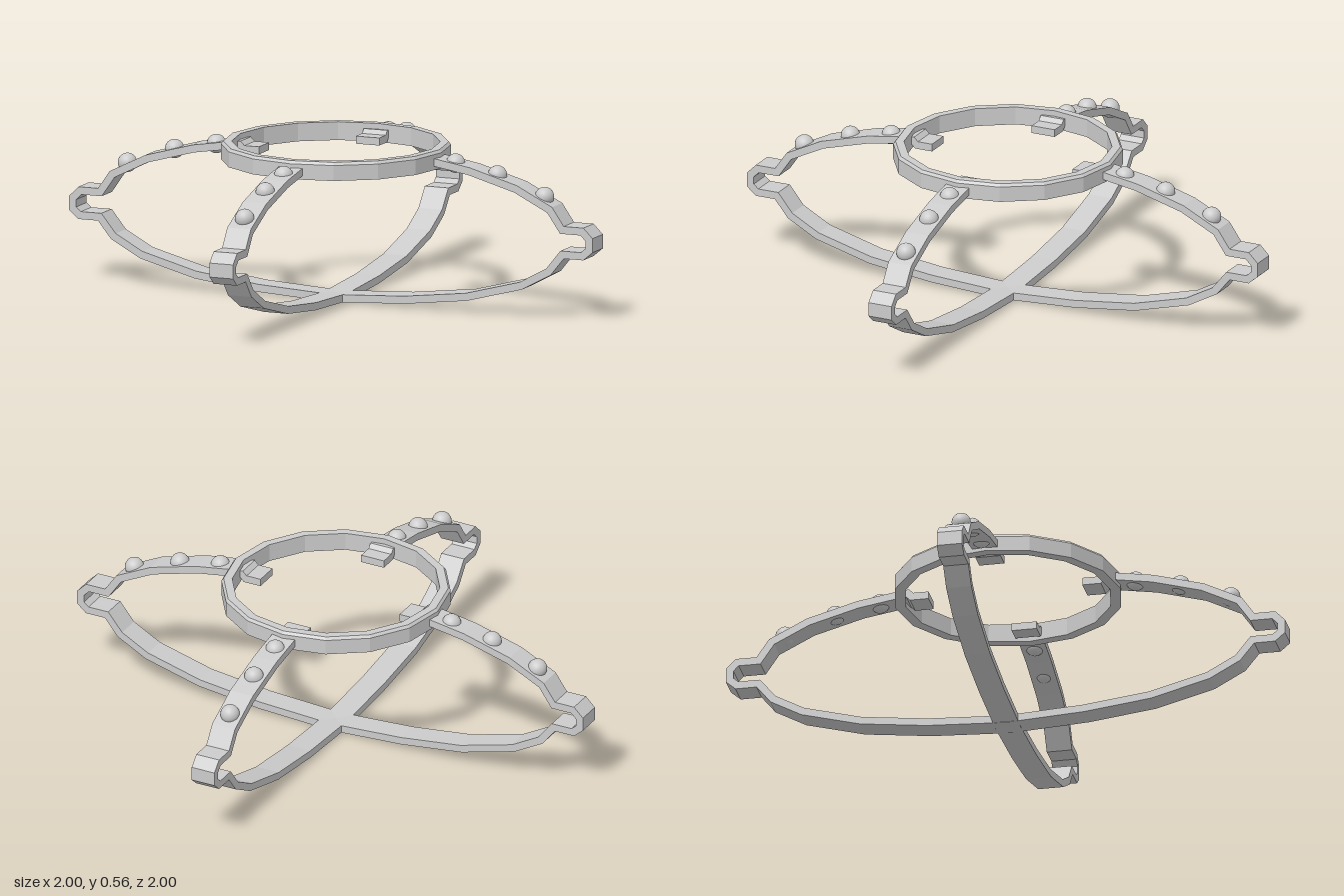
import * as THREE from 'three';

const material = new THREE.MeshStandardMaterial({ color: 0xcccccc, flatShading: true });
const smooth = new THREE.MeshStandardMaterial({ color: 0xcccccc });
const BAND = 0.09, THICK = 0.027;

// Outer edge of half a band, from the inner tab round the end knuckle to the bottom
const HALF = [
  [0.275, 0.535], [0.33, 0.535], [0.345, 0.55], [0.4, 0.543], [0.53, 0.522], [0.71, 0.472],
  [0.845, 0.405], [0.89, 0.34], [0.965, 0.34], [1, 0.305], [1, 0.255], [0.965, 0.225],
  [0.89, 0.225], [0.84, 0.163], [0.73, 0.103], [0.52, 0.047], [0.28, 0.018], [0, 0.003],
];

// Offset a path to its right by a mitred distance
function offset(path, d) {
  return path.map((p, i) => {
    const a = path[Math.max(i - 1, 0)], b = path[Math.min(i + 1, path.length - 1)];
    const u = (i > 0 ? p.clone().sub(a) : b.clone().sub(p)).normalize();
    const v = (i < path.length - 1 ? b.clone().sub(p) : p.clone().sub(a)).normalize();
    const n1 = new THREE.Vector2(u.y, -u.x), n2 = new THREE.Vector2(v.y, -v.x);
    const m = n1.clone().add(n2).normalize();
    return p.clone().addScaledVector(m, d / Math.max(m.dot(n1), 0.4));
  });
}

function bandGeometry() {
  const right = HALF.map(([x, y]) => new THREE.Vector2(x, y));
  const left = HALF.slice(0, -1).reverse().map(([x, y]) => new THREE.Vector2(-x, y));
  const outer = [...right, ...left];
  const shape = new THREE.Shape([...outer, ...offset(outer, THICK).reverse()]);
  return new THREE.ExtrudeGeometry(shape, { depth: BAND, bevelEnabled: false }).translate(0, 0, -BAND / 2);
}

export function createModel() {
  const model = new THREE.Group();
  const band = bandGeometry();
  const stud = new THREE.SphereGeometry(0.034, 20, 14);

  // Two crossed bands, each with three studs on either arm
  for (let k = 0; k < 2; k++) {
    const arm = new THREE.Group();
    arm.name = k ? 'frontBackBand' : 'sideBand';
    const strip = new THREE.Mesh(band, material);
    strip.name = 'bandStrip';
    arm.add(strip);
    for (const s of [-1, 1]) {
      for (const [x, y] of [[0.457, 0.525], [0.617, 0.495], [0.797, 0.432]]) {
        const ball = new THREE.Mesh(stud, smooth);
        ball.name = 'stud';
        ball.position.set(s * x, y, 0);
        arm.add(ball);
      }
    }
    arm.rotation.y = k * Math.PI / 2;
    model.add(arm);
  }

  // Sixteen-sided top ring with slightly chamfered upper rim
  const profile = [[0.365, 0.503], [0.403, 0.503], [0.403, 0.558], [0.395, 0.568], [0.365, 0.568], [0.365, 0.503]]
    .map(([r, y]) => new THREE.Vector2(r, y));
  const ring = new THREE.Mesh(new THREE.LatheGeometry(profile, 16), material);
  ring.name = 'topRing';
  model.add(ring);

  return model;
}
